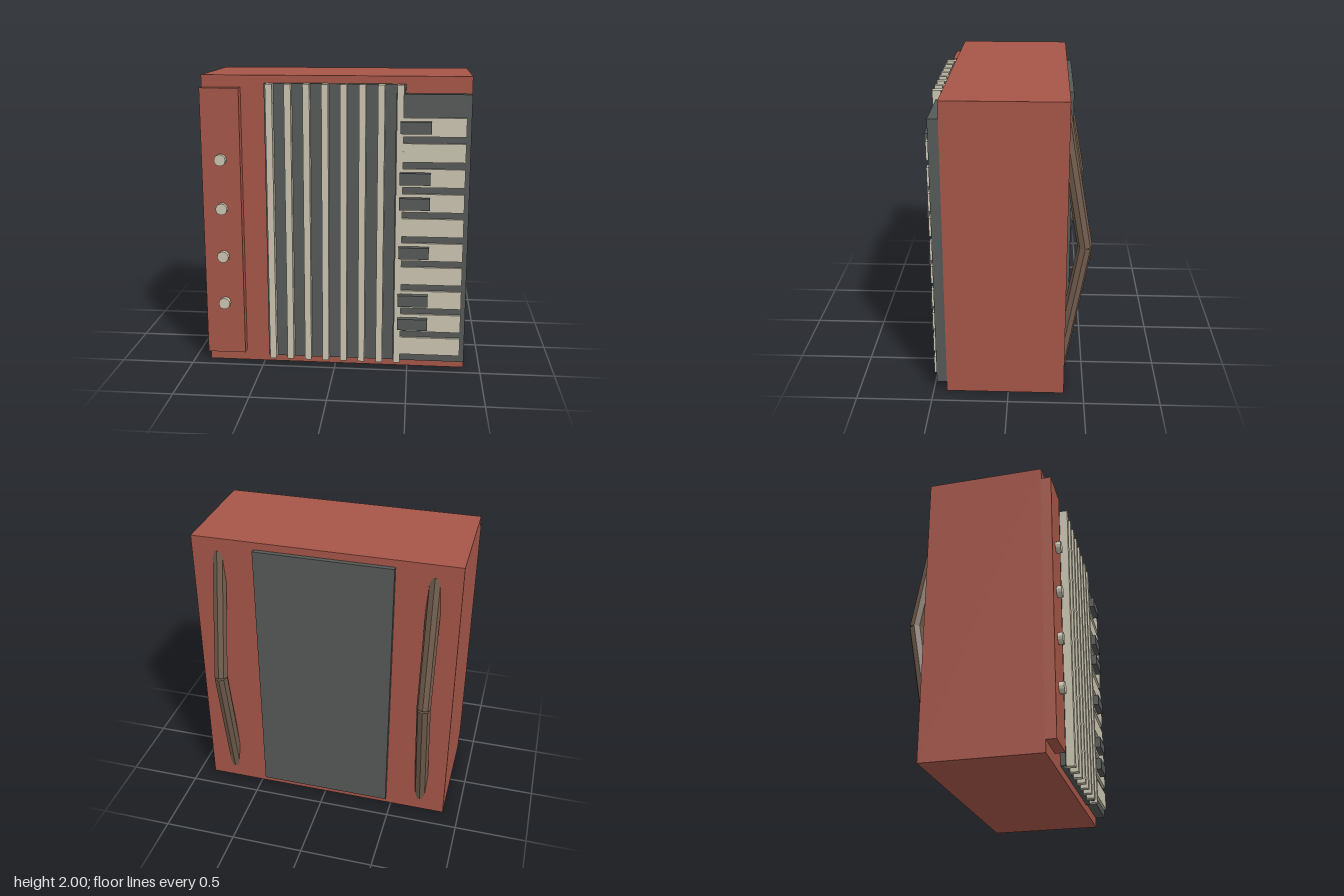
import * as THREE from 'three';

function material(name, color) {
  const m = new THREE.MeshStandardMaterial({ color });
  m.name = name;
  return m;
}

export function createModel() {
  const group = new THREE.Group();
  const red = material('red', 0xa65648);
  const dark = material('charcoal', 0x555957);
  const cream = material('cream', 0xcac4b0);
  const brown = material('brown leather', 0x705c4c);

  const add = (name, geometry, mat) => {
    const mesh = new THREE.Mesh(geometry, mat);
    mesh.name = name;
    group.add(mesh);
    return mesh;
  };
  // box given by its limits on each axis
  const box = (name, mat, x0, x1, y0, y1, z0, z1) => {
    add(name, new THREE.BoxGeometry(x1 - x0, y1 - y0, z1 - z0), mat)
      .position.set((x0 + x1) / 2, (y0 + y1) / 2, (z0 + z1) / 2);
  };

  // case and bellows with pale ribs
  box('body', red, -0.888, 0.888, 0, 2, -0.37, 0.41);
  box('bellows', dark, -0.465, 0.462, 0.055, 1.95, -0.402, 0.443);
  for (let i = 0; i < 8; i++) {
    const x = -0.425 + i * 0.122;
    box('bellowsRib', cream, x - 0.022, x + 0.022, 0.055, 1.95, 0.43, 0.498);
  }

  // button panel
  box('buttonPanel', red, -0.888, -0.627, 0.08, 1.92, 0.4, 0.475);
  for (let i = 0; i < 4; i++) {
    const geometry = new THREE.CylinderGeometry(0.039, 0.039, 0.05, 12).toNonIndexed();
    geometry.computeVertexNormals();
    const button = add('button', geometry, cream);
    button.rotation.x = Math.PI / 2;
    button.position.set(-0.758, 0.447 + i / 3, 0.484);
  }

  // keyboard
  box('keyboardBase', dark, 0.4, 0.886, 0.068, 1.89, 0.39, 0.477);
  for (let i = 0; i < 10; i++) {
    const y = 0.18 + i / 6;
    box('whiteKey', cream, 0.432, 0.855, y - 0.061, y + 0.061, 0.465, 0.495);
    if ([1, 2, 4, 6, 7, 9].includes(i)) {
      box('blackKey', dark, 0.431, 0.631, y - 0.039, y + 0.039, 0.485, 0.535);
    }
  }

  // back straps: two faceted rods meeting at mid height
  const up = new THREE.Vector3(0, 1, 0);
  for (const x of [-0.713, 0.713]) {
    for (const side of [-1, 1]) {
      const a = new THREE.Vector3(x, 1 + side * 0.9, -0.33);
      const b = new THREE.Vector3(x, 1, -0.488);
      const dir = b.clone().sub(a);
      const geometry = new THREE.CylinderGeometry(0.0475, 0.0475, dir.length(), 8).toNonIndexed();
      geometry.computeVertexNormals();
      const strap = add('strap', geometry, brown);
      strap.position.copy(a).add(b).multiplyScalar(0.5);
      strap.quaternion.setFromUnitVectors(up, dir.normalize().multiplyScalar(-side));
    }
  }
  return group;
}
